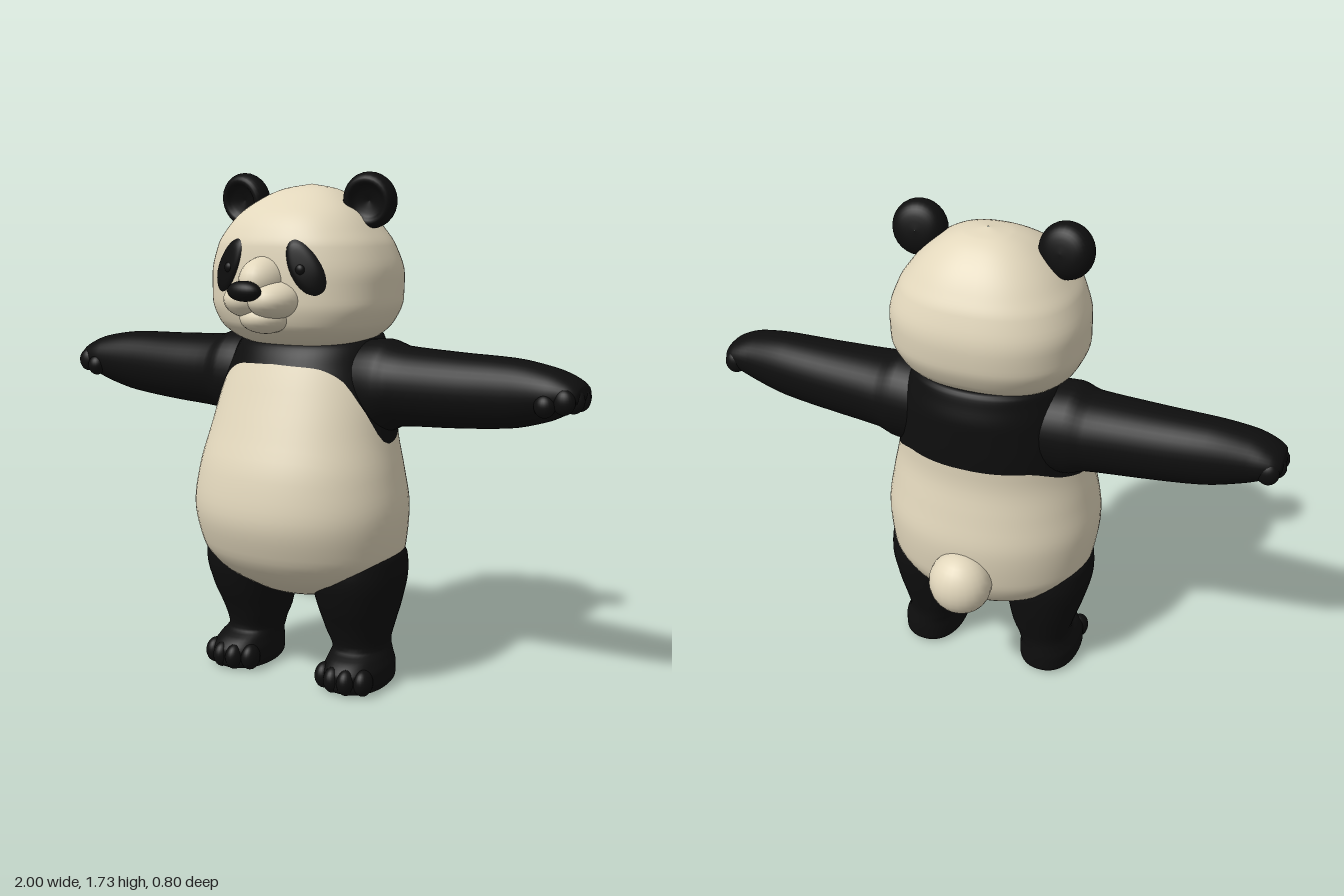
import * as THREE from 'three';

const fur = new THREE.MeshStandardMaterial({ color: 0xe2d7bc });
fur.name = 'cream fur';
const dark = new THREE.MeshStandardMaterial({ color: 0x0e0e0e });
dark.name = 'black fur';

// Section rows: [height, centre x, half width, front z, back z]
const BODY = [
  [0.30, 0, 0.002, 0.03, 0.02], [0.312, 0, 0.12, 0.12, -0.11], [0.345, 0, 0.22, 0.19, -0.19],
  [0.40, 0, 0.315, 0.265, -0.245], [0.48, 0, 0.366, 0.322, -0.278], [0.62, 0, 0.381, 0.36, -0.292],
  [0.75, 0, 0.362, 0.343, -0.275], [0.88, 0, 0.332, 0.297, -0.258], [1.0, 0, 0.312, 0.25, -0.264],
  [1.1, 0, 0.285, 0.21, -0.265], [1.17, 0, 0.262, 0.172, -0.25], [1.205, 0, 0.235, 0.10, -0.24],
  [1.218, 0, 0.19, 0.04, -0.225], [1.22, 0, 0.002, -0.1, -0.102],
];
const HEAD = [
  [1.155, 0, 0.002, 0.01, 0], [1.165, 0, 0.15, 0.13, -0.13], [1.20, 0, 0.25, 0.205, -0.20],
  [1.25, 0, 0.30, 0.25, -0.248], [1.32, 0, 0.325, 0.268, -0.278], [1.40, 0, 0.325, 0.27, -0.285],
  [1.50, 0, 0.295, 0.262, -0.262], [1.55, 0, 0.262, 0.242, -0.236], [1.60, 0, 0.22, 0.205, -0.203],
  [1.65, 0, 0.158, 0.13, -0.155], [1.685, 0, 0.085, 0.05, -0.10], [1.70, 0, 0.002, -0.03, -0.032],
];
const LEG = [
  [0.004, 0.232, 0.002, 0.02, 0.018], [0.006, 0.232, 0.095, 0.16, -0.11], [0.03, 0.232, 0.108, 0.182, -0.127],
  [0.07, 0.232, 0.108, 0.18, -0.128], [0.105, 0.228, 0.098, 0.15, -0.126], [0.135, 0.22, 0.093, 0.10, -0.125],
  [0.20, 0.213, 0.112, 0.118, -0.138], [0.30, 0.217, 0.138, 0.162, -0.160], [0.40, 0.218, 0.157, 0.186, -0.172],
  [0.46, 0.215, 0.158, 0.182, -0.165], [0.50, 0.20, 0.15, 0.15, -0.13], [0.53, 0.19, 0.002, 0.01, 0],
];
// The arm is lofted upright, then laid along +x (its x is minus the world height)
const ARM = [
  [0.15, -1.04, 0.14, 0.11, -0.18], [0.30, -1.04, 0.156, 0.12, -0.18], [0.37, -1.043, 0.133, 0.105, -0.17],
  [0.55, -1.045, 0.123, 0.095, -0.15], [0.75, -1.052, 0.111, 0.085, -0.13], [0.88, -1.06, 0.085, 0.083, -0.11],
  [0.95, -1.065, 0.056, 0.07, -0.10], [0.985, -1.065, 0.032, 0.05, -0.08], [0.995, -1.065, 0.002, -0.01, -0.012],
];
// Lower edge of the black yoke: [angle from the front, height]
const YOKE = [[0, 1.115], [0.5, 1.108], [0.83, 1.075], [1.13, 0.98], [1.57, 0.855], [2.0, 0.885], [2.5, 0.935], [3.15, 0.94]];

// Smooth, non-overshooting interpolation of every column of a table by its first column
function sample(table, t) {
  const last = table.length - 1;
  let i = 0;
  while (i < last - 1 && t > table[i + 1][0]) i++;
  const a = table[i], b = table[i + 1], h = b[0] - a[0];
  const s = THREE.MathUtils.clamp((t - a[0]) / h, 0, 1);
  return a.map((_, c) => {
    const secant = k => (table[k + 1][c] - table[k][c]) / (table[k + 1][0] - table[k][0]);
    const slope = k => {
      if (k === 0) return secant(0);
      if (k === last) return secant(last - 1);
      const p = secant(k - 1), q = secant(k);
      return p * q <= 0 ? 0 : 2 * p * q / (p + q);
    };
    const s2 = s * s, s3 = s2 * s;
    return (2 * s3 - 3 * s2 + 1) * a[c] + (s3 - 2 * s2 + s) * h * slope(i)
      + (3 * s2 - 2 * s3) * b[c] + (s3 - s2) * h * slope(i + 1);
  });
}

// Point on a superelliptic section at an angle measured from the front
function ring(table, angle, y, n) {
  const [, cx, hx, zf, zb] = sample(table, y);
  const p = v => Math.sign(v) * Math.abs(v) ** (2 / n);
  return [cx + hx * p(Math.sin(angle)), y, (zf + zb) / 2 + (zf - zb) / 2 * p(Math.cos(angle))];
}

// Closed-around grid surface from point(angle, v)
function surface(point, nu, nv) {
  const pos = [], index = [];
  for (let j = 0; j <= nv; j++)
    for (let i = 0; i < nu; i++) pos.push(...point(i / nu * Math.PI * 2, j / nv));
  for (let j = 0; j < nv; j++)
    for (let i = 0; i < nu; i++) {
      const k = (i + 1) % nu, a = j * nu + i, b = j * nu + k, c = a + nu, d = b + nu;
      index.push(a, b, d, a, d, c);
    }
  const geo = new THREE.BufferGeometry();
  geo.setAttribute('position', new THREE.Float32BufferAttribute(pos, 3));
  geo.setIndex(index);
  geo.computeVertexNormals();
  return geo;
}

// Loft through a whole table with even steps between its rows
function loft(table, n, nu = 40, steps = 4) {
  const spans = table.length - 1;
  return surface((angle, v) => {
    const i = Math.min(Math.floor(v * spans + 1e-6), spans - 1);
    return ring(table, angle, THREE.MathUtils.lerp(table[i][0], table[i + 1][0], v * spans - i), n);
  }, nu, spans * steps);
}

const ball = (x, y, z, rx, ry, rz) => new THREE.SphereGeometry(1, 24, 16).scale(rx, ry, rz).translate(x, y, z);

function mirrored(geo) {
  const m = geo.clone().scale(-1, 1, 1), idx = m.index.array;
  for (let i = 0; i < idx.length; i += 3) [idx[i], idx[i + 1]] = [idx[i + 1], idx[i]];
  m.computeVertexNormals();
  return m;
}

export function createModel() {
  const model = new THREE.Group();
  const add = (name, geo, mat) => {
    const mesh = new THREE.Mesh(geo, mat);
    mesh.name = name;
    model.add(mesh);
  };
  const addPair = (name, geo, mat) => {
    add(name + 'Left', geo, mat);
    add(name + 'Right', mirrored(geo), mat);
  };

  // Torso: cream belly below the yoke line, black yoke above it
  const edge = angle => sample(YOKE, Math.min(angle, Math.PI * 2 - angle))[1];
  add('belly', surface((a, v) => ring(BODY, a, 0.30 + (edge(a) - 0.30) * v ** 1.6, 2.1), 64, 32), fur);
  add('shoulderYoke', surface((a, v) => {
    const e = edge(a);
    return ring(BODY, a, e + (1.22 - e) * (1 - (1 - v) ** 1.6), 2.1);
  }, 64, 20), dark);
  add('tail', ball(0, 0.495, -0.295, 0.11, 0.115, 0.1), fur);

  // Head with muzzle, chin and nose
  const N = 2.35;
  add('head', loft(HEAD, N, 64, 5), fur);
  add('muzzleBridge', ball(0, 1.39, 0.25, 0.075, 0.08, 0.105), fur);
  addPair('muzzlePad', ball(0.045, 1.332, 0.26, 0.085, 0.062, 0.105), fur);
  add('chin', ball(0, 1.272, 0.245, 0.085, 0.052, 0.09), fur);
  add('nose', ball(0, 1.364, 0.366, 0.062, 0.033, 0.034), dark);

  // Slanted eye patches that follow the face
  const faceZ = (x, y) => {
    const [, , hx, zf, zb] = sample(HEAD, y);
    return (zf + zb) / 2 + (zf - zb) / 2 * (1 - (x / hx) ** N) ** (1 / N);
  };
  addPair('eyePatch', surface((a, v) => {
    const r = 1 - v, tilt = 0.52;
    const p = 0.05 * r * Math.cos(a) * (1 - 0.12 * Math.sin(a)), q = 0.102 * r * Math.sin(a);
    const x = 0.148 + p * Math.cos(tilt) - q * Math.sin(tilt);
    const y = 1.437 + p * Math.sin(tilt) + q * Math.cos(tilt);
    return [x, y, faceZ(x, y) + 0.009 - 0.012 * r ** 6];
  }, 36, 10), dark);
  addPair('eye', ball(0.138, 1.43, faceZ(0.138, 1.43) + 0.002, 0.018, 0.018, 0.014), dark);

  // Cupped ears
  const cup = [[0.0005, -0.05], [0.05, -0.045], [0.08, -0.027], [0.092, 0.005], [0.083, 0.035], [0.065, 0.042], [0.045, 0.025], [0.0005, 0.012]];
  const ear = new THREE.LatheGeometry(new THREE.SplineCurve(cup.map(p => new THREE.Vector2(...p))).getPoints(24), 28);
  ear.rotateX(Math.PI / 2 + 0.16).rotateY(0.1).translate(0.245, 1.647, -0.003);
  addPair('ear', ear, dark);

  // Arms with stubby fingers
  addPair('arm', loft(ARM, 2.1).rotateZ(-Math.PI / 2), dark);
  [[0.95, -0.08], [0.965, -0.035], [0.965, 0.015], [0.95, 0.055]].forEach(([x, z], i) =>
    addPair('finger' + (i + 1), ball(x, 1.05, z, 0.036, 0.04, 0.027), dark));
  addPair('thumb', ball(0.895, 1.035, 0.07, 0.034, 0.036, 0.03), dark);

  // Legs with feet and toes
  addPair('leg', loft(LEG, 2.25), dark);
  [0.155, 0.205, 0.257, 0.307].forEach((x, i) =>
    addPair('toe' + (i + 1), ball(x, 0.05, i % 3 ? 0.155 : 0.13, 0.032, 0.045, 0.04), dark));

  return model;
}
